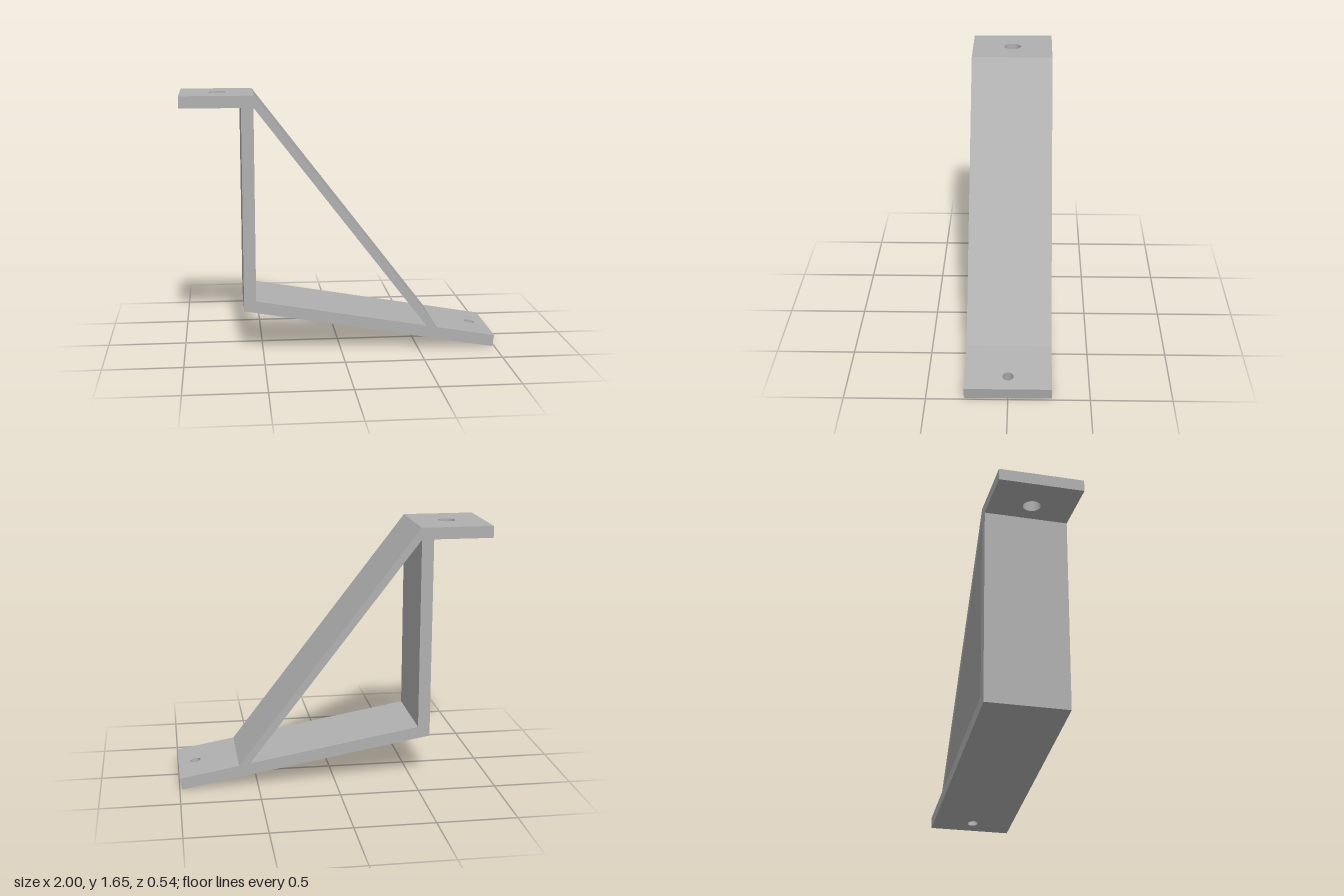
import * as THREE from 'three';

const WIDTH = 0.535;      // depth of every strip along z
const THICK = 0.075;      // plate thickness
const SLOPE = THREE.MathUtils.degToRad(9.9);

export function createModel() {
  const model = new THREE.Group();
  model.name = 'angledBracket';
  const grey = new THREE.MeshStandardMaterial({ color: 0xb0b0b0 });
  grey.name = 'plainGrey';

  const add = (name, geometry) => {
    const mesh = new THREE.Mesh(geometry, grey);
    mesh.name = name;
    model.add(mesh);
    return mesh;
  };

  // Flat plate starting at its lower left edge, with one round bolt hole
  const plate = (name, length, holeX, holeRadius) => {
    const h = WIDTH / 2;
    const shape = new THREE.Shape([[0, -h], [length, -h], [length, h], [0, h]]
      .map(([x, y]) => new THREE.Vector2(x, y)));
    const hole = new THREE.Path();
    hole.absarc(holeX, 0, holeRadius, 0, Math.PI * 2, true);
    shape.holes.push(hole);
    const geometry = new THREE.ExtrudeGeometry(shape, { depth: THICK, bevelEnabled: false, curveSegments: 24 });
    return add(name, geometry.rotateX(-Math.PI / 2));
  };

  // Side outline extruded across the full width
  const strip = (name, points) => {
    const shape = new THREE.Shape(points.map(([x, y]) => new THREE.Vector2(x, y)));
    const geometry = new THREE.ExtrudeGeometry(shape, { depth: WIDTH, bevelEnabled: false });
    return add(name, geometry.translate(0, 0, -WIDTH / 2));
  };

  // Level upper mounting plate
  plate('topPlate', 0.46, 0.238, 0.056).position.set(-1, 1.571, 0);

  // Sloping lower mounting plate
  const base = plate('basePlate', 1.63, 1.52, 0.034);
  base.position.set(-0.62, 0.281, 0);
  base.rotation.z = -SLOPE;

  // Upright wall, cut to meet the sloping plate
  strip('uprightWall', [[-0.62, 0.281], [-0.607, 0.355], [-0.543, 0.344], [-0.543, 1.571], [-0.62, 1.571]]);

  // Diagonal brace from the top plate down to the base
  strip('diagonalBrace', [[-0.54, 1.646], [-0.543, 1.571], [0.55, 0.153], [0.62, 0.141]]);

  return model;
}
